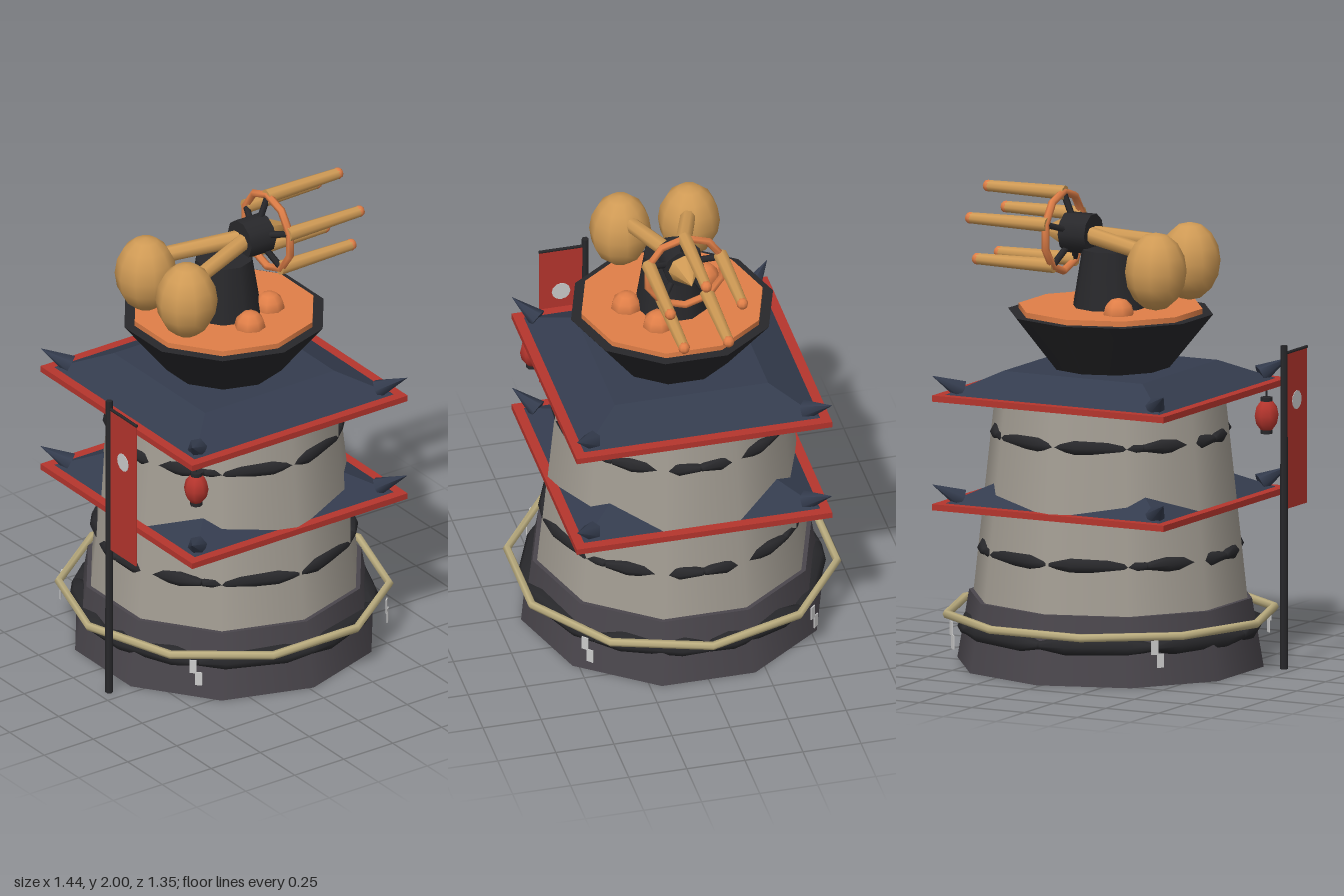
import * as THREE from 'three';

const STONE = 0x4a464c, WALL = 0xa39d93, BLACK = 0x28282b, RED = 0xb5352d, NAVY = 0x343c4e;
const ORANGE = 0xe07f48, TAN = 0xcf9a55, ROPE = 0xbcae80, PAPER = 0xcccccc;
const CX = 0.02; // axis of the tower
const UP = new THREE.Vector3(0, 1, 0);

const materials = {};
function material(color, double) {
  const key = color + (double ? 'd' : '');
  materials[key] ??= new THREE.MeshStandardMaterial({ color, side: double ? THREE.DoubleSide : THREE.FrontSide });
  return materials[key];
}

function add(parent, name, geometry, color, x = 0, y = 0, z = 0, double = false) {
  const mesh = new THREE.Mesh(geometry, material(color, double));
  mesh.name = name;
  mesh.position.set(x, y, z);
  parent.add(mesh);
  return mesh;
}

// upright tapered drum standing on y0
function drum(parent, name, color, y0, y1, rBottom, rTop, sides = 10) {
  return add(parent, name, new THREE.CylinderGeometry(rTop, rBottom, y1 - y0, sides), color, CX, (y0 + y1) / 2, 0);
}

// tapered rod between two points
function rod(parent, name, color, a, b, rA, rB, sides = 8) {
  const from = new THREE.Vector3(...a), to = new THREE.Vector3(...b);
  const dir = to.clone().sub(from);
  const mesh = add(parent, name, new THREE.CylinderGeometry(rB, rA, dir.length(), sides), color);
  mesh.position.copy(from).add(to).multiplyScalar(0.5);
  mesh.quaternion.setFromUnitVectors(UP, dir.normalize());
  return mesh;
}

// ring of eight long blunt stones set into the wall
function stoneRing(parent, y, radius, half, thick) {
  const profile = [[0, -1], [0.4, -1], [1, -0.55], [1, 0.55], [0.4, 1], [0, 1]]
    .map(([r, h]) => new THREE.Vector2(r * thick, h * half));
  const geometry = new THREE.LatheGeometry(profile, 8).rotateZ(Math.PI / 2);
  for (let i = 0; i < 8; i++) {
    const a = (i + 0.5) * Math.PI / 4;
    const stone = add(parent, 'wallStone', geometry, BLACK, CX + radius * Math.sin(a), y, radius * Math.cos(a));
    stone.rotation.y = a;
    stone.scale.z = 1.3;
  }
}

// square eave, hipped roof and four upturned corner horns
function roof(parent, y) {
  const group = new THREE.Group();
  group.name = 'roof';
  group.position.set(CX, y, 0);
  add(group, 'eave', new THREE.BoxGeometry(1.1, 0.026, 1.1), RED, 0, 0.013, 0);
  const hip = new THREE.CylinderGeometry(0.33 * Math.SQRT2, 0.51 * Math.SQRT2, 0.09, 4, 1).rotateY(Math.PI / 4).toNonIndexed();
  hip.computeVertexNormals();
  add(group, 'roofSlope', hip, NAVY, 0, 0.07, 0);
  for (const sx of [-1, 1]) for (const sz of [-1, 1]) {
    rod(group, 'cornerHorn', NAVY, [sx * 0.46, 0.045, sz * 0.46], [sx * 0.55, 0.11, sz * 0.55], 0.042, 0, 6);
  }
  parent.add(group);
}

function buildTower(parent) {
  drum(parent, 'base', STONE, 0, 0.29, 0.65, 0.6);
  drum(parent, 'towerWall', WALL, 0.28, 1.15, 0.582, 0.487);
  stoneRing(parent, 0.165, 0.575, 0.24, 0.042);
  stoneRing(parent, 0.495, 0.5, 0.207, 0.037);
  stoneRing(parent, 0.985, 0.448, 0.187, 0.037);
  roof(parent, 0.68);
  roof(parent, 1.14);

  // rope around the base with folded paper strips
  const rope = add(parent, 'rope', new THREE.TorusGeometry(0.69, 0.018, 6, 10), ROPE, CX, 0.218, 0);
  rope.rotation.x = Math.PI / 2;
  for (let i = 0; i < 4; i++) {
    const strip = new THREE.Group();
    strip.name = 'paperStrip';
    strip.rotation.y = Math.PI / 4 + i * Math.PI / 2;
    strip.position.set(CX + 0.69 * Math.sin(strip.rotation.y), 0, 0.69 * Math.cos(strip.rotation.y));
    add(strip, 'upperFold', new THREE.BoxGeometry(0.03, 0.06, 0.005), PAPER, -0.012, 0.175, 0);
    add(strip, 'lowerFold', new THREE.BoxGeometry(0.03, 0.06, 0.005), PAPER, 0.012, 0.12, 0);
    parent.add(strip);
  }

  // flared platform on top
  drum(parent, 'platform', BLACK, 1.255, 1.485, 0.25, 0.435);
  drum(parent, 'platformFloor', ORANGE, 1.48, 1.508, 0.39, 0.39);
  for (const [x, z] of [[0.015, 0.195], [0.18, 0.1], [-0.11, -0.17]]) {
    add(parent, 'ball', new THREE.SphereGeometry(0.066, 8, 6), ORANGE, x, 1.512, z);
  }
}

function buildLauncher(parent) {
  const launcher = new THREE.Group();
  launcher.name = 'launcher';
  parent.add(launcher);
  drum(launcher, 'pedestal', BLACK, 1.5, 1.75, 0.16, 0.12);
  const y = 1.805;
  rod(launcher, 'hub', BLACK, [0.1, y, 0], [0.225, y, 0], 0.086, 0.086, 10);
  rod(launcher, 'noseCone', TAN, [0.22, y, 0], [0.355, y, 0], 0.07, 0, 8);

  // counterweights on their arms
  for (const s of [-1, 1]) {
    const weight = add(launcher, 'counterweight', new THREE.SphereGeometry(0.13, 10, 8), TAN, -0.275, 1.7, s * 0.148);
    weight.scale.y = 1.27;
    rod(launcher, 'weightArm', TAN, [-0.27, 1.765, s * 0.15], [0.13, 1.805, s * 0.01], 0.033, 0.036);
  }

  // ring with five barrels
  const ring = add(launcher, 'barrelRing', new THREE.TorusGeometry(0.168, 0.017, 6, 10), ORANGE, 0.243, y, 0);
  ring.rotation.set(0, Math.PI / 2, 0);
  ring.geometry.rotateZ(Math.PI / 2);
  for (let i = 0; i < 5; i++) {
    const a = i * Math.PI * 2 / 5;
    const by = y + 0.163 * Math.cos(a), bz = 0.163 * Math.sin(a);
    rod(launcher, 'barrel', TAN, [0.235, by, bz], [0.6, by, bz], 0.031, 0.024);
    add(launcher, 'barrelTip', new THREE.SphereGeometry(0.025, 8, 6), ORANGE, 0.6, by, bz);
    rod(launcher, 'spoke', BLACK, [0.2, y + 0.06 * Math.cos(a), 0.06 * Math.sin(a)], [0.243, by, bz], 0.014, 0.014, 6);
  }
}

function buildBanner(parent) {
  const banner = new THREE.Group();
  banner.name = 'banner';
  banner.position.set(-0.7, 0, 0.19);
  parent.add(banner);
  rod(banner, 'pole', BLACK, [0, 0, 0], [0, 1.37, 0], 0.017, 0.015, 6);
  rod(banner, 'crossbar', BLACK, [0, 1.335, 0], [0, 1.335, 0.2], 0.007, 0.007, 6);
  add(banner, 'cloth', new THREE.BoxGeometry(0.006, 0.66, 0.185), RED, 0, 1.005, 0.105);
  const disc = add(banner, 'clothDisc', new THREE.CylinderGeometry(0.04, 0.04, 0.01, 12), PAPER, 0, 1.125, 0.105);
  disc.rotation.z = Math.PI / 2;
}

function buildLantern(parent) {
  const lantern = new THREE.Group();
  lantern.name = 'lantern';
  lantern.position.set(-0.46, 1.01, 0.48);
  parent.add(lantern);
  const body = add(lantern, 'lanternBody', new THREE.SphereGeometry(0.052, 8, 6), RED);
  body.scale.y = 1.35;
  for (const s of [-1, 1]) {
    add(lantern, 'lanternCap', new THREE.CylinderGeometry(0.026, 0.026, 0.022, 8), BLACK, 0, s * 0.066, 0);
  }
  rod(lantern, 'lanternCord', BLACK, [0, 0.07, 0], [0, 0.135, 0], 0.004, 0.004, 5);
}

export function createModel() {
  const model = new THREE.Group();
  model.name = 'watchtower';
  buildTower(model);
  buildLauncher(model);
  buildBanner(model);
  buildLantern(model);
  return model;
}
